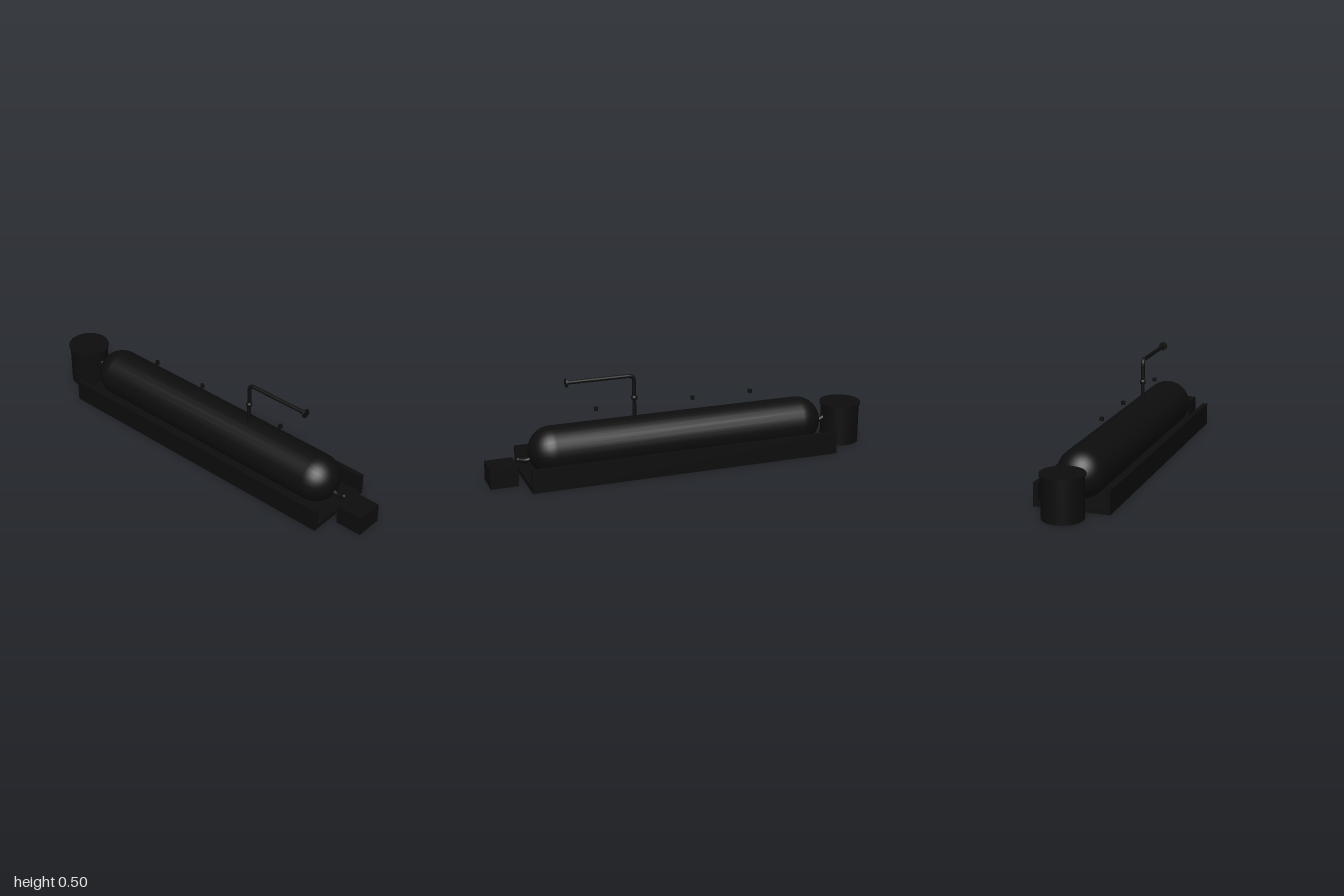
import * as THREE from 'three';

export function createModel() {
  const model = new THREE.Group();
  const dark = new THREE.MeshStandardMaterial({ color: 0x0d0d0d });

  const add = (name, geometry, x = 0, y = 0, z = 0) => {
    const mesh = new THREE.Mesh(geometry, dark);
    mesh.name = name;
    mesh.position.set(x, y, z);
    model.add(mesh);
    return mesh;
  };
  const box = (name, w, h, d, x, y, z) => add(name, new THREE.BoxGeometry(w, h, d), x, y, z);
  const cylinder = (name, r, h, seg, x, y, z) => add(name, new THREE.CylinderGeometry(r, r, h, seg), x, y, z);
  const v = (x, y) => new THREE.Vector3(x, y, 0);

  // Open-ended containment tray
  const midX = 0.016, trayLength = 1.61;
  box('trayFloor', trayLength, 0.025, 0.378, midX, 0.0125, 0);
  for (const side of [-1, 1]) {
    box(side > 0 ? 'trayWallFront' : 'trayWallBack', trayLength, 0.115, 0.025, midX, 0.0575, side * 0.1765);
  }

  // Horizontal tank with domed ends
  const tankRadius = 0.122;
  const tank = add('tank', new THREE.CapsuleGeometry(tankRadius, 1.556 - 2 * tankRadius, 10, 28), midX, 0.14, 0);
  tank.rotation.z = Math.PI / 2;

  // Small fittings in a row above the tank
  for (const x of [-0.377, -0.065, 0.443]) cylinder('topFitting', 0.0105, 0.018, 12, x, 0.327, 0);

  // Vent pipe with a rounded elbow, joint ball and end flange
  const pipe = new THREE.CurvePath();
  pipe.add(new THREE.LineCurve3(v(0.245, 0.25), v(0.245, 0.448)));
  pipe.add(new THREE.QuadraticBezierCurve3(v(0.245, 0.448), v(0.245, 0.478), v(0.275, 0.478)));
  pipe.add(new THREE.LineCurve3(v(0.275, 0.478), v(0.592, 0.478)));
  add('ventPipe', new THREE.TubeGeometry(pipe, 96, 0.01, 12));
  add('ventJoint', new THREE.SphereGeometry(0.016, 16, 12), 0.245, 0.362, 0);
  const flange = cylinder('ventFlange', 0.0225, 0.008, 20, 0.592, 0.477, 0);
  flange.rotation.z = Math.PI / 2;

  // Drum with an overhanging lid
  cylinder('drum', 0.1, 0.208, 32, -0.893, 0.104, 0);
  cylinder('drumLid', 0.107, 0.009, 32, -0.893, 0.2105, 0);

  // Control box beside the tray
  box('controlBox', 0.14, 0.1, 0.14, 0.93, 0.05, 0);

  // Short hoses at both ends of the tank
  const hose = (name, points) => {
    add(name, new THREE.TubeGeometry(new THREE.CatmullRomCurve3(points), 16, 0.012, 10));
    const end = points[points.length - 1];
    add(name + 'End', new THREE.SphereGeometry(0.012, 10, 8), end.x, end.y, 0);
  };
  hose('drumHose', [v(-0.74, 0.118), v(-0.77, 0.124), v(-0.8, 0.138)]);
  hose('boxHose', [v(0.77, 0.11), v(0.81, 0.102), v(0.845, 0.11)]);

  return model;
}
